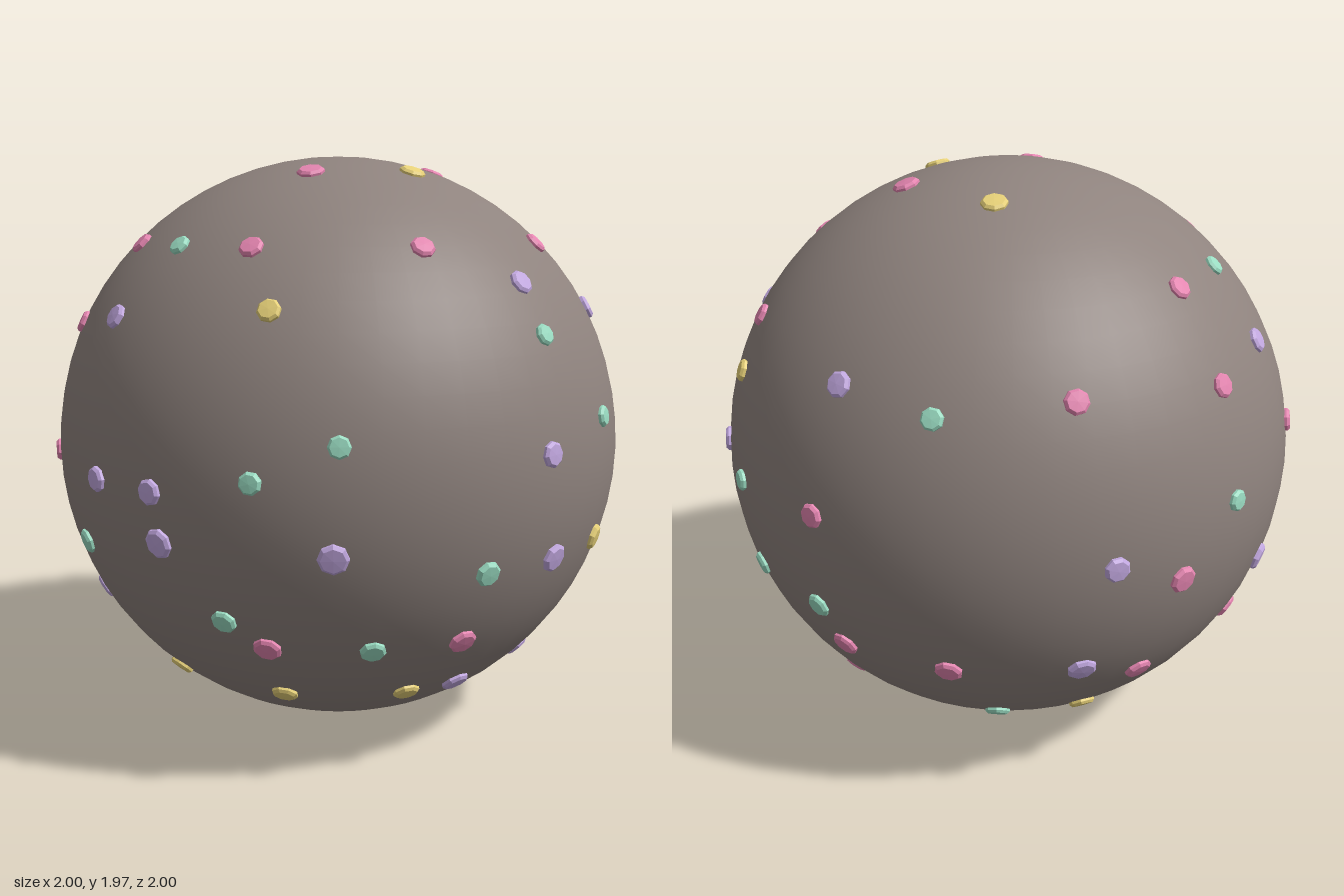
import * as THREE from 'three';

const RADIUS = 0.987;
const CENTRE_Y = 0.992;

const paint = (name, color) => {
  const material = new THREE.MeshStandardMaterial({ color });
  material.name = name;
  return material;
};

// Rings of studs: height above the ball's middle, then the compass angles
// (degrees from the front towards the model's left) of each colour.
const RINGS = [
  { y: 0.925, yellow: [0, 127], pink: [60, 300] },
  { y: 0.695, pink: [24, 182, 247, 293, 336], mint: [205, 270] },
  { y: 0.585, lilac: [0] },
  { y: 0.52, pink: [58], yellow: [301] },
  { y: 0.475, lilac: [35, 99, 202, 261], pink: [147] },
  { y: 0.43, mint: [0, 120], pink: [181, 238] },
  { y: 0.355, yellow: [62] },
  { y: 0.15, mint: [16, 315], pink: [211] },
  { y: 0.08, lilac: [57, 356], pink: [97], mint: [180] },
  { y: 0.04, mint: [72, 300] },
  { y: -0.02, lilac: [153, 265, 280], pink: [235] },
  { y: -0.12, pink: [167] },
  { y: -0.18, lilac: [46, 281, 314] },
  { y: -0.265, lilac: [0, 197, 226], yellow: [18], mint: [74, 95, 255, 343] },
  { y: -0.42, pink: [98, 122], lilac: [149], mint: [292] },
  { y: -0.51, pink: [164, 199, 300, 342], yellow: [53], lilac: [238], mint: [322] },
  { y: -0.725, lilac: [26, 204, 350], pink: [80], yellow: [156, 262, 300, 334], mint: [131] },
];

// Shallow eight-sided cap with a bevelled rim and faceted normals
function studGeometry() {
  const profile = [[1, -0.8], [1, 0.45], [0.8, 0.9], [0, 1]].map(([x, y]) => new THREE.Vector2(x, y));
  const geometry = new THREE.LatheGeometry(profile, 8).toNonIndexed();
  geometry.computeVertexNormals();
  return geometry;
}

export function createModel() {
  const group = new THREE.Group();
  group.name = 'studdedBall';

  // Ball
  const ball = new THREE.Mesh(new THREE.SphereGeometry(RADIUS, 48, 32), paint('warm grey', 0x8f837e));
  ball.name = 'ball';
  ball.position.y = CENTRE_Y;
  group.add(ball);

  // Stud colours, each with its own size
  const kinds = {
    pink: { material: paint('pink', 0xe485b0), size: 0.041 },
    lilac: { material: paint('lilac', 0xc2a8e0), size: 0.043 },
    mint: { material: paint('mint', 0x9adcc2), size: 0.037 },
    yellow: { material: paint('yellow', 0xe6d078), size: 0.039 },
  };

  // Studs lie flat on the ball, larger near the top and over the lower half
  const studs = new THREE.Group();
  studs.name = 'studs';
  studs.position.y = CENTRE_Y;
  group.add(studs);
  const cap = studGeometry();
  const up = new THREE.Vector3(0, 1, 0);
  for (const { y, ...colours } of RINGS) {
    const polar = Math.acos(y / RADIUS);
    const growth = y > 0.8 || y < -0.1 ? 1.12 : 0.96;
    for (const [colour, angles] of Object.entries(colours)) {
      const { material, size } = kinds[colour];
      for (const angle of angles) {
        const direction = new THREE.Vector3().setFromSphericalCoords(1, polar, THREE.MathUtils.degToRad(angle));
        const stud = new THREE.Mesh(cap, material);
        stud.name = `${colour}Stud`;
        stud.position.copy(direction).multiplyScalar(RADIUS - 0.002);
        stud.quaternion.setFromUnitVectors(up, direction);
        stud.scale.set(size * growth, 0.018, size * growth);
        studs.add(stud);
      }
    }
  }
  return group;
}
